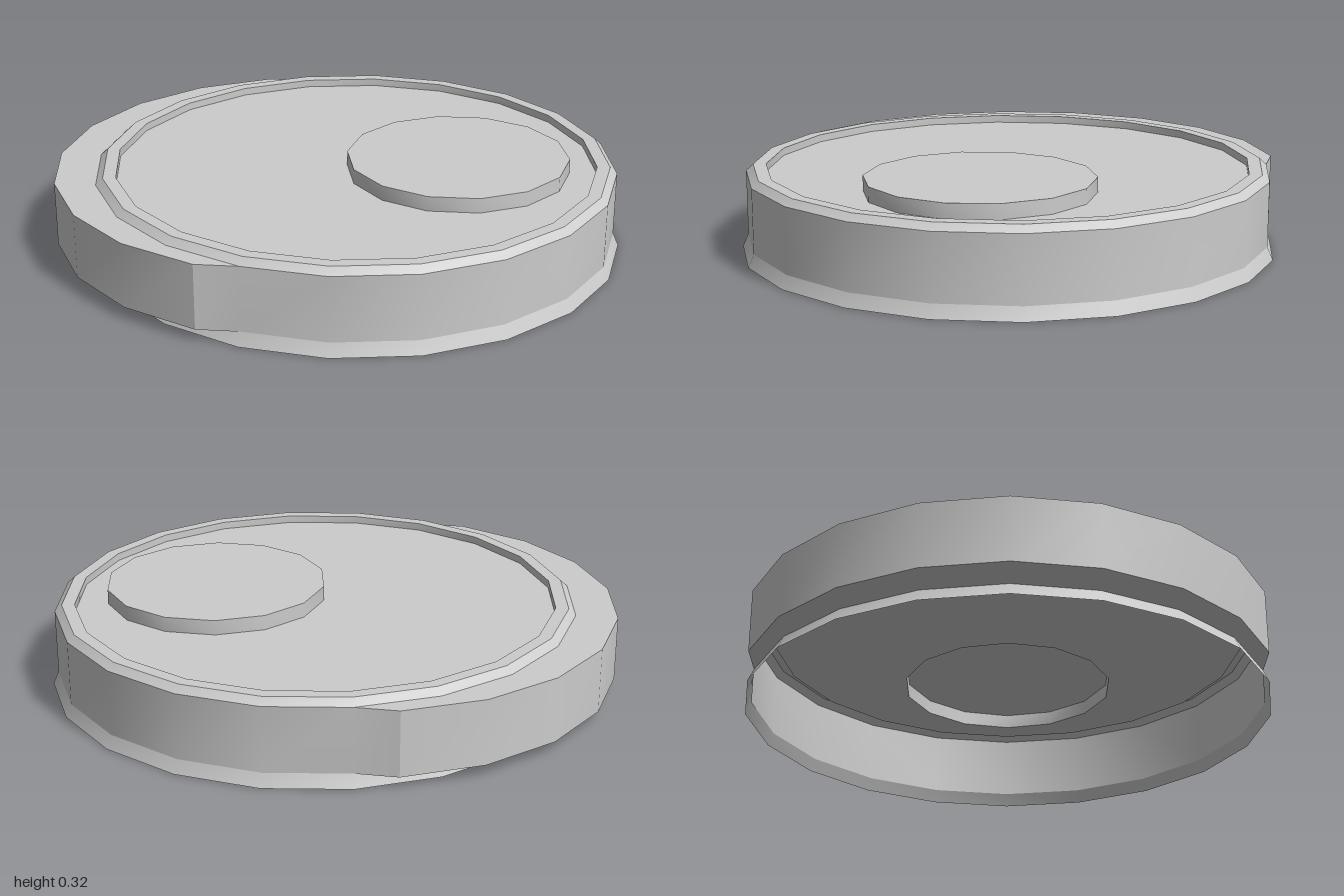
import * as THREE from 'three';
import { toCreasedNormals } from 'three/addons/utils/BufferGeometryUtils.js';

const SIDES = 20, CENTRE_X = 0.06, SHIFT = -0.145;
const FLOOR_Y = 0.268, INNER_R = 0.845;
const DISC_X = 0.42, DISC_R = 0.39, DISC_SIDES = 14;

const material = new THREE.MeshStandardMaterial({ color: 0xcccccc, side: THREE.DoubleSide });

function addMesh(group, name, geometry) {
  const mesh = new THREE.Mesh(geometry, material);
  mesh.name = name;
  group.add(mesh);
  return mesh;
}

// Twenty-sided outline; the side towards -x can slide outwards, and the two
// corners where it breaks away are doubled so a straight link joins the halves.
function ring(radius, y, shift = 0) {
  const points = [];
  const add = (k, dx) => {
    const a = (k / SIDES) * Math.PI * 2;
    points.push(new THREE.Vector3(CENTRE_X + radius * Math.cos(a) + dx, y, radius * Math.sin(a)));
  };
  for (let k = 0; k < SIDES; k++) {
    if (k === 6) add(k, 0);
    add(k, k >= 6 && k <= 14 ? shift : 0);
    if (k === 14) add(k, 0);
  }
  return points;
}

// Joins successive rings into an outward-facing skin, leaving out empty triangles
function skin(rings, crease) {
  const positions = [];
  const triangle = new THREE.Triangle();
  const addTriangle = (a, b, c) => {
    if (triangle.set(a, b, c).getArea() < 1e-7) return;
    for (const p of [a, b, c]) positions.push(p.x, p.y, p.z);
  };
  for (let r = 0; r < rings.length - 1; r++) {
    const low = rings[r], high = rings[r + 1], n = low.length;
    for (let i = 0; i < n; i++) {
      const j = (i + 1) % n;
      addTriangle(low[i], high[i], low[j]);
      addTriangle(low[j], high[i], high[j]);
    }
  }
  const geometry = new THREE.BufferGeometry();
  geometry.setAttribute('position', new THREE.Float32BufferAttribute(positions, 3));
  return toCreasedNormals(geometry, crease);
}

function polygon(cx, radius, sides) {
  return Array.from({ length: sides }, (_, i) => {
    const a = (i / sides) * Math.PI * 2;
    return new THREE.Vector2(cx + radius * Math.cos(a), radius * Math.sin(a));
  });
}

export function createModel() {
  const model = new THREE.Group();
  model.name = 'roundCase';

  // Flared foot
  addMesh(model, 'flaredFoot', skin([ring(0.935, 0), ring(0.915, 0.045)], 0.4));

  // Side wall with its offset bulge, closed above and below by flat crescents
  addMesh(model, 'sideWall', skin([
    ring(0.915, 0.045),
    ring(0.915, 0.045, SHIFT),
    ring(0.915, 0.272, SHIFT),
    ring(0.915, 0.272),
  ], 0.4));

  // Bevelled rim stepping down to the recessed top
  addMesh(model, 'rim', skin([
    ring(0.915, 0.272),
    ring(0.89, 0.295),
    ring(INNER_R, 0.295),
    ring(INNER_R, FLOOR_Y),
  ], 0.4));

  // Recessed top plate, open under the raised disc
  const plate = new THREE.Shape(polygon(CENTRE_X, INNER_R, SIDES));
  plate.holes.push(new THREE.Path(polygon(DISC_X, DISC_R, DISC_SIDES)));
  const plateGeometry = new THREE.ShapeGeometry(plate);
  plateGeometry.rotateX(-Math.PI / 2);
  addMesh(model, 'topPlate', plateGeometry).position.y = FLOOR_Y;

  // Raised disc, hollow underneath
  const discProfile = [[DISC_R, FLOOR_Y], [DISC_R, 0.32], [0, 0.32]].map(([x, y]) => new THREE.Vector2(x, y));
  const disc = new THREE.LatheGeometry(discProfile, DISC_SIDES, Math.PI / 2);
  addMesh(model, 'raisedDisc', toCreasedNormals(disc, 0.6)).position.x = DISC_X;

  return model;
}
